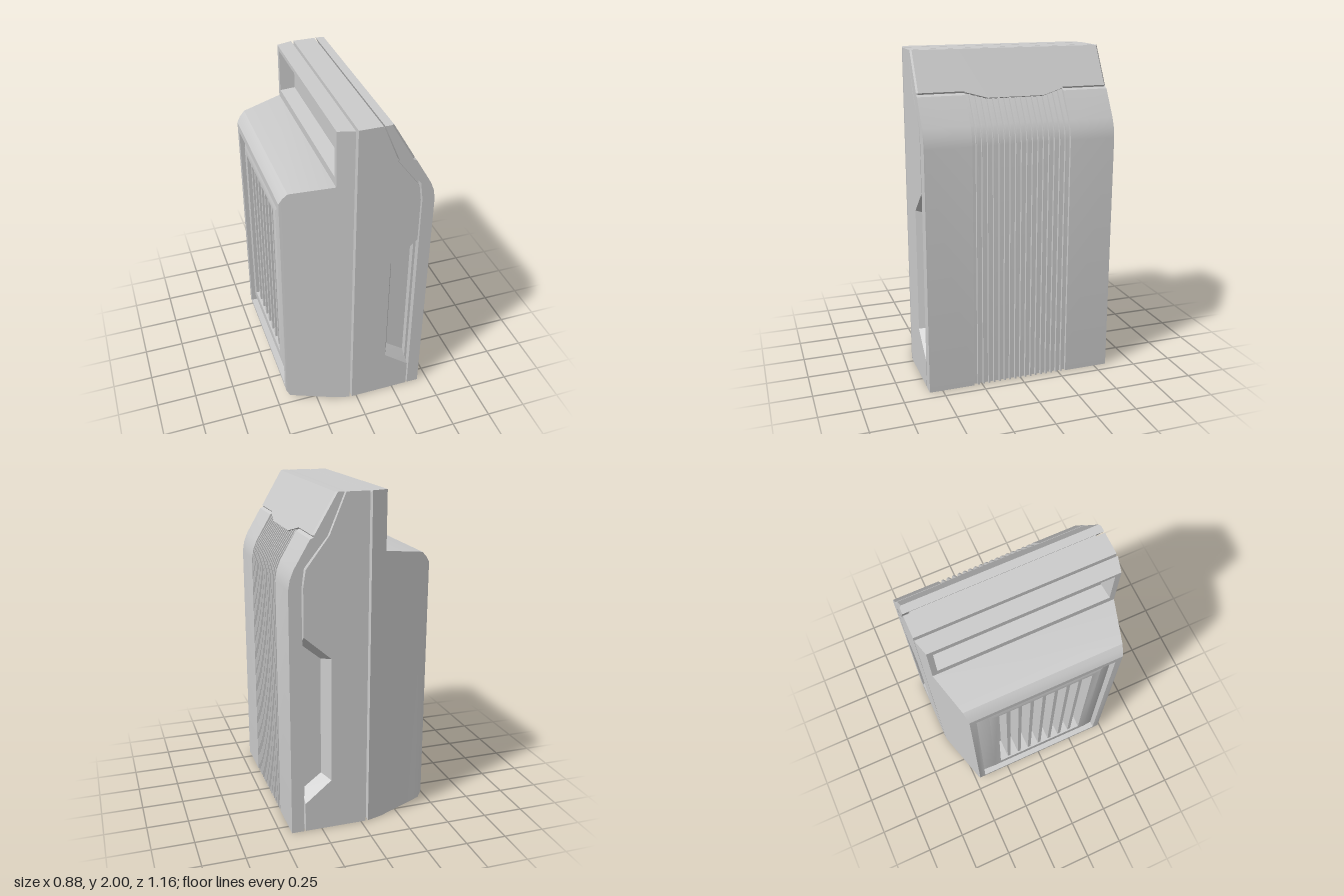
import * as THREE from 'three';
import { toCreasedNormals } from 'three/addons/utils/BufferGeometryUtils.js';

const material = new THREE.MeshStandardMaterial({ color: 0xcccccc });

// Skin a row of equal-count rings of [x, y, z] and cap both ends.
// u, v are the two coordinate indices that span the ring plane.
function loft(name, rings, u, v) {
  const flat = rings.map(r => r.map(p => new THREE.Vector2(p[u], p[v])));
  if (THREE.ShapeUtils.isClockWise(flat[0])) {
    rings = rings.map(r => [...r].reverse());
    flat.forEach(r => r.reverse());
  }
  const n = rings[0].length, last = rings.length - 1;
  const pts = rings.flat().map(p => new THREE.Vector3(...p));
  const tris = [];
  for (let i = 0; i < last; i++) {
    for (let k = 0; k < n; k++) {
      const a = i * n + k, b = i * n + (k + 1) % n;
      tris.push([a, b, b + n], [a, b + n, a + n]);
    }
  }
  for (const [a, b, c] of THREE.ShapeUtils.triangulateShape(flat[0], [])) tris.push([c, b, a]);
  for (const f of THREE.ShapeUtils.triangulateShape(flat[last], [])) tris.push(f.map(i => i + last * n));
  // turn everything outward
  let volume = 0;
  for (const [a, b, c] of tris) volume += pts[a].dot(pts[b].clone().cross(pts[c]));
  const index = tris.flatMap(([a, b, c]) => (volume < 0 ? [a, c, b] : [a, b, c]));
  const geo = new THREE.BufferGeometry().setFromPoints(pts);
  geo.setIndex(index);
  const mesh = new THREE.Mesh(toCreasedNormals(geo.toNonIndexed(), 0.5), material);
  mesh.name = name;
  return mesh;
}

// Side profiles [x, y] placed at given z values
const alongZ = (name, ...sections) =>
  loft(name, sections.map(([z, profile]) => profile.map(([x, y]) => [x, y, z])), 0, 1);

// Rectangles [x, bottom, top, half depth] stacked along x
const alongX = (name, rects) =>
  loft(name, rects.map(([x, y0, y1, h]) => [[x, y0, -h], [x, y1, -h], [x, y1, h], [x, y0, h]]), 1, 2);

export function createModel() {
  const model = new THREE.Group();
  model.name = 'backpackUnit';
  const W = 0.58;

  // Middle body, with a slanted hand recess in each side
  const bodyEdge = [[0.105, 2], [0.2, 1.77], [0.335, 1.59], [0.35, 1.49]];
  const body = notch => [[-0.03, 0], [-0.03, 2], ...bodyEdge, ...notch, [0.35, 0]];
  const outerNotch = [[0.35, 1.21], [0.19, 1.07], [0.19, 0.31], [0.35, 0.18]];
  const innerNotch = [[0.35, 1.15], [0.23, 1.05], [0.23, 0.33], [0.35, 0.24]];
  model.add(alongZ('middleBody', [-0.5, body([])], [0.5, body([])]));
  for (const s of [1, -1]) {
    model.add(alongZ(s > 0 ? 'frontSideWithRecess' : 'rearSideWithRecess',
      [s * 0.5, body(innerNotch)], [s * W, body(outerNotch)]));
  }

  // Recessed seam between the middle body and the cover
  const seam = [[0.11, 1.97], [0.2, 1.765], [0.335, 1.585], [0.345, 1.49], [0.345, 0.03],
    [0.37, 0.03], [0.37, 1.49], [0.355, 1.6], [0.22, 1.775], [0.13, 1.97]];
  model.add(alongZ('coverSeam', [-0.54, seam], [0.54, seam]));

  // Cover: full profile at the ends, sunken channel in the middle
  const slope = y => 0.165 + (2 - y) * 0.588;
  const coverInside = [[0.36, 0], [0.36, 1.49], [0.345, 1.6], [0.21, 1.77], [0.115, 2]];
  const coverBend = d => [[0.403 - d, 1.595], [0.425 - d, 1.54], [0.435 - d, 1.48], [0.435 - d, 0]];
  const cover = bevel => [...coverInside, [slope(2) - bevel, 2], [slope(1.775) - bevel, 1.775],
    [slope(1.765) - 0.015, 1.765], [slope(1.755), 1.755], ...coverBend(0)];
  const channel = step => [...coverInside, [slope(2), 2], [slope(step), step],
    [slope(step) - 0.02, step - 0.008], ...coverBend(0.018)];
  for (const s of [1, -1]) {
    model.add(alongZ('coverEnd', [s * 0.3, cover(0)], [s * 0.57, cover(0)], [s * W, cover(0.012)]));
  }
  model.add(alongZ('coverChannel', [-0.3, channel(1.77)], [-0.17, channel(1.735)],
    [0.17, channel(1.735)], [0.3, channel(1.77)]));

  // Fine ribs running down the channel
  for (let k = -8; k <= 8; k++) {
    const z = k * 0.034;
    const top = Math.abs(z) < 0.17 ? 1.735 : 1.735 + (Math.abs(z) - 0.17) * 0.27;
    const rib = [[slope(top) - 0.03, top - 0.004], [slope(top) - 0.005, top - 0.004],
      ...coverBend(0), ...coverBend(0.03).reverse()];
    model.add(alongZ('rib', [z - 0.005, rib], [z + 0.005, rib]));
  }

  // Tapered back housing: bevelled seam, rounded rim, raised grille frame and slot well
  model.add(alongX('backHousing', [
    [-0.03, 0.03, 1.64, 0.54], [-0.045, 0, 1.65, W], [-0.14, 0, 1.66, 0.553],
    [-0.39, 0.036, 1.625, 0.484], [-0.42, 0.042, 1.595, 0.476], [-0.44, 0.08, 1.56, 0.47],
    [-0.44, 0.1, 1.51, 0.43], [-0.4, 0.1, 1.51, 0.43],
    [-0.43, 0.22, 1.44, 0.35], [-0.43, 0.28, 1.41, 0.3], [-0.3, 0.28, 1.41, 0.3],
  ]));

  // Upright slats in the grille
  for (let k = -3; k <= 3; k++) {
    const slat = new THREE.Mesh(new THREE.BoxGeometry(0.12, 1.14, 0.022), material);
    slat.position.set(-0.36, 0.845, k * 0.077);
    slat.name = 'grilleSlat';
    model.add(slat);
  }

  // Upper block with a deep window open to the back
  model.add(alongX('upperBlock', [
    [-0.03, 1.6, 1.97, 0.54], [-0.045, 1.6, 2, W], [-0.14, 1.63, 2, 0.553],
    [-0.14, 1.71, 1.975, 0.52], [-0.05, 1.72, 1.965, 0.51],
  ]));

  return model;
}
